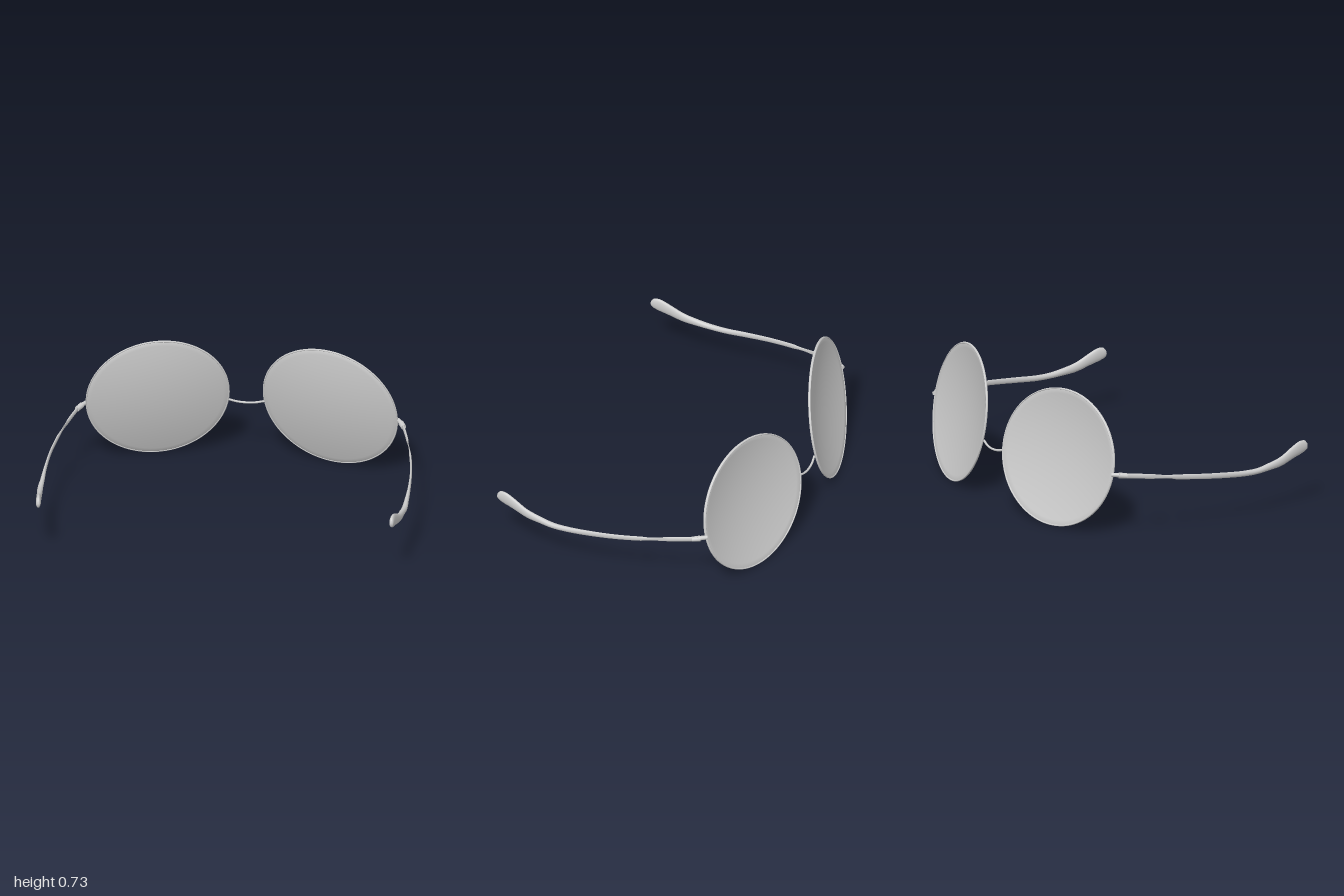
import * as THREE from 'three';

const material = new THREE.MeshStandardMaterial({ color: 0xcccccc, side: THREE.DoubleSide });

function mesh(name, geometry) {
  const m = new THREE.Mesh(geometry, material);
  m.name = name;
  return m;
}

// Mirror a geometry in x, reversing the corner order so faces stay outward
function mirrored(geometry) {
  const g = geometry.clone().scale(-1, 1, 1);
  const index = g.index.array;
  for (let i = 0; i < index.length; i += 3) {
    [index[i + 1], index[i + 2]] = [index[i + 2], index[i + 1]];
  }
  return g;
}

// Smooth closed loft along z; each station is [z, x, y, halfWidth, halfHeight]
function loft(stations, steps, sides = 16) {
  const path = new THREE.CatmullRomCurve3(stations.map(([z, x, y]) => new THREE.Vector3(x, y, z)));
  const size = new THREE.CatmullRomCurve3(stations.map(([, , , w, h]) => new THREE.Vector3(w, h, 0)));
  const pos = [], idx = [];
  for (let i = 0; i <= steps; i++) {
    const t = i / steps;
    const c = path.getPoint(t), r = size.getPoint(t);
    for (let j = 0; j < sides; j++) {
      const a = (j / sides) * Math.PI * 2;
      pos.push(c.x + Math.cos(a) * r.x, c.y + Math.sin(a) * r.y, c.z);
      if (i === steps) continue;
      const p = i * sides + j, q = i * sides + (j + 1) % sides;
      idx.push(p, q, p + sides, q, q + sides, p + sides);
    }
  }
  // End caps
  [0, steps].forEach((row, end) => {
    const c = path.getPoint(end), n = pos.length / 3;
    pos.push(c.x, c.y, c.z);
    for (let j = 0; j < sides; j++) {
      const p = row * sides + j, q = row * sides + (j + 1) % sides;
      if (end) idx.push(n, p, q);
      else idx.push(n, q, p);
    }
  });
  const g = new THREE.BufferGeometry();
  g.setAttribute('position', new THREE.Float32BufferAttribute(pos, 3));
  g.setIndex(idx);
  g.computeVertexNormals();
  return g;
}

// Place a unit disc shape as a slanted oval: tilted in height and wrapped at the outer edge
function slant(geometry) {
  const rx = 0.373, ry = 0.363, yaw = 0.267, pitch = 0.185, skew = -0.04;
  return geometry.applyMatrix4(new THREE.Matrix4().set(
    rx, skew * ry, 0, 0.467,
    0, ry, 0, 0.3675,
    yaw * rx, pitch * ry, 1, -0.58,
    0, 0, 0, 1));
}

// Thin domed lens, bulging towards the temple side
function lensGeometry() {
  const depth = 0.045, thick = 0.008, n = 14, profile = [];
  for (let i = 0; i <= n; i++) {
    const r = i / n;
    profile.push(new THREE.Vector2(r, depth * (1 - r * r) - thick / 2));
  }
  for (let i = n; i >= 0; i--) {
    const r = i / n;
    profile.push(new THREE.Vector2(r, depth * (1 - r * r) + thick / 2));
  }
  return slant(new THREE.LatheGeometry(profile, 72).rotateX(Math.PI / 2));
}

// Wire rim: a fine ring in the lens plane
function rimGeometry() {
  return slant(new THREE.TorusGeometry(1, 0.012, 10, 96).scale(1, 1, 0.6));
}

// A short round rod between two points
function rod(a, b, r0, r1) {
  const from = new THREE.Vector3(...a), to = new THREE.Vector3(...b);
  const dir = to.clone().sub(from);
  const g = new THREE.CylinderGeometry(r1, r0, dir.length(), 14);
  const q = new THREE.Quaternion().setFromUnitVectors(new THREE.Vector3(0, 1, 0), dir.normalize());
  g.applyQuaternion(q);
  const mid = from.add(to).multiplyScalar(0.5);
  return g.translate(mid.x, mid.y, mid.z);
}

export function createModel() {
  const model = new THREE.Group();
  model.name = 'roundGlasses';

  // Temple arm: slim wire that widens into a paddle-shaped ear tip
  const temple = loft([
    [-0.43, 0.88, 0.345, 0.007, 0.014],
    [-0.3, 0.918, 0.328, 0.006, 0.014],
    [-0.15, 0.953, 0.307, 0.006, 0.014],
    [0, 0.975, 0.287, 0.006, 0.015],
    [0.15, 0.984, 0.268, 0.008, 0.016],
    [0.27, 0.985, 0.255, 0.012, 0.016],
    [0.36, 0.985, 0.253, 0.015, 0.016],
    [0.44, 0.979, 0.261, 0.015, 0.02],
    [0.52, 0.973, 0.274, 0.014, 0.026],
    [0.6, 0.964, 0.305, 0.014, 0.034],
    [0.65, 0.959, 0.322, 0.014, 0.038],
    [0.685, 0.956, 0.327, 0.013, 0.031],
    [0.7, 0.955, 0.325, 0.01, 0.018],
    [0.705, 0.954, 0.324, 0.003, 0.005],
  ], 78);

  const parts = {
    Lens: lensGeometry(),
    Rim: rimGeometry(),
    // End piece joining the rim to the hinge
    EndPiece: rod([0.843, 0.352, -0.492], [0.872, 0.35, -0.448], 0.011, 0.013),
    // Hinge sleeve around the front of the arm
    Hinge: rod([0.864, 0.349, -0.46], [0.884, 0.344, -0.42], 0.016, 0.014),
    Temple: temple,
  };
  for (const [name, geometry] of Object.entries(parts)) {
    model.add(mesh('left' + name, geometry), mesh('right' + name, mirrored(geometry)));
  }

  // Nose bridge: a thin sagging wire between the rims
  const bridge = new THREE.CatmullRomCurve3([
    [-0.095, 0.324, -0.679], [-0.05, 0.31, -0.687], [0, 0.305, -0.69],
    [0.05, 0.31, -0.687], [0.095, 0.324, -0.679],
  ].map((p) => new THREE.Vector3(...p)));
  model.add(mesh('bridge', new THREE.TubeGeometry(bridge, 32, 0.006, 10)));

  return model;
}
